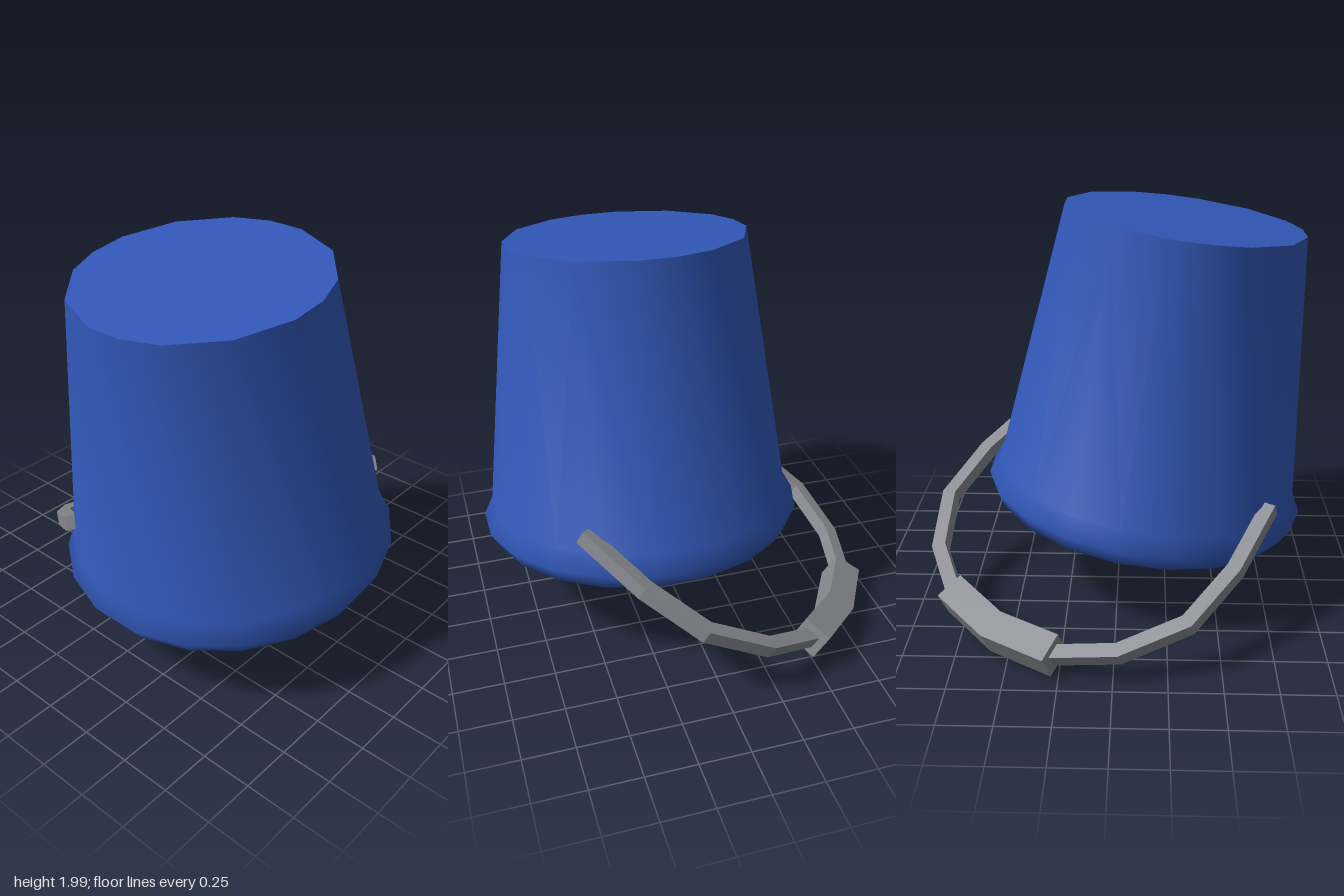
import * as THREE from 'three';
import { toCreasedNormals } from 'three/addons/utils/BufferGeometryUtils.js';

const blue = new THREE.MeshStandardMaterial({ name: 'blue', color: 0x3157b7 });
const grey = new THREE.MeshStandardMaterial({ name: 'grey', color: 0x888a90 });

const TOP_Y = 1.503, TOP_R = 0.592;

// Hollow pail standing upside down: inner floor, inner wall, rim, lip, outer wall, base.
function pailGeometry() {
  const profile = [
    [0, 1.43], [0.53, 1.43], [0.694, 0], [0.774, 0], [0.82, 0.081],
    [0.773, 0.167], [TOP_R, TOP_Y], [0, TOP_Y],
  ].map(([r, y]) => new THREE.Vector2(r, y));
  const geo = new THREE.LatheGeometry(profile, 20, Math.PI / 20);
  const pos = geo.attributes.position;
  // The base ring has 16 corners: two of every five are merged.
  for (let i = 0; i < pos.count; i++) {
    const x = pos.getX(i), z = pos.getZ(i);
    if (pos.getY(i) < 1.49 || Math.hypot(x, z) < 0.1) continue;
    const deg = Math.round(THREE.MathUtils.radToDeg(Math.atan2(z, x)) + 360) % 360;
    const rest = deg % 90;
    const a = THREE.MathUtils.degToRad(rest === 27 || rest === 45 ? deg - rest + 36 : deg);
    pos.setXYZ(i, Math.cos(a) * TOP_R, TOP_Y, Math.sin(a) * TOP_R);
  }
  return toCreasedNormals(geo, 1.15);
}

// Square bar following a flat path with mitred corners.
function barGeometry(path, size) {
  const pts = path.map(([x, y]) => new THREE.Vector2(x, y));
  const sides = [[], []];
  pts.forEach((p, i) => {
    const before = pts[Math.max(i - 1, 0)], after = pts[Math.min(i + 1, pts.length - 1)];
    const d1 = (i ? p.clone().sub(before) : after.clone().sub(p)).normalize();
    const d2 = (after !== p ? after.clone().sub(p) : d1.clone()).normalize();
    const t = d1.clone().add(d2).normalize();
    const normal = new THREE.Vector2(-t.y, t.x).multiplyScalar(size / 2 / t.dot(d1));
    sides[0].push(p.clone().add(normal));
    sides[1].push(p.clone().sub(normal));
  });
  const shape = new THREE.Shape([...sides[0], ...sides[1].reverse()]);
  return new THREE.ExtrudeGeometry(shape, { depth: size, bevelEnabled: false }).translate(0, 0, -size / 2);
}

export function createModel() {
  const model = new THREE.Group();
  model.name = 'bucket';

  const pail = new THREE.Mesh(pailGeometry(), blue);
  pail.name = 'pail';
  pail.position.set(-0.127, 0.435, 0.14);
  pail.rotation.z = THREE.MathUtils.degToRad(7.5);
  model.add(pail);

  // Handle lies in its own plane: x joins the pivots, y points to the grip.
  const across = new THREE.Vector3(0.786, 0.105, 0.609).normalize();
  const normal = new THREE.Vector3(0.222, 0.873, -0.436);
  normal.addScaledVector(across, -normal.dot(across)).normalize();
  const outward = normal.clone().cross(across);
  const handle = new THREE.Group();
  handle.name = 'handle';
  handle.quaternion.setFromRotationMatrix(new THREE.Matrix4().makeBasis(across, outward, normal));
  handle.position.set(-0.14, 0.69, 0.105).addScaledVector(normal, 0.01);
  model.add(handle);

  const half = [[0.765, 0], [0.815, 0.38], [0.785, 0.72], [0.59, 1.0], [0.32, 1.165]];
  const mirrored = half.map(([x, y]) => [-x, y]).reverse();
  const bail = new THREE.Mesh(barGeometry([...half, [0, 1.21], ...mirrored], 0.07), grey);
  bail.name = 'bail';
  const grip = new THREE.Mesh(barGeometry([[0.335, 1.16], [0, 1.21], [-0.335, 1.16]], 0.145), grey);
  grip.name = 'grip';
  handle.add(bail, grip);

  return model;
}
